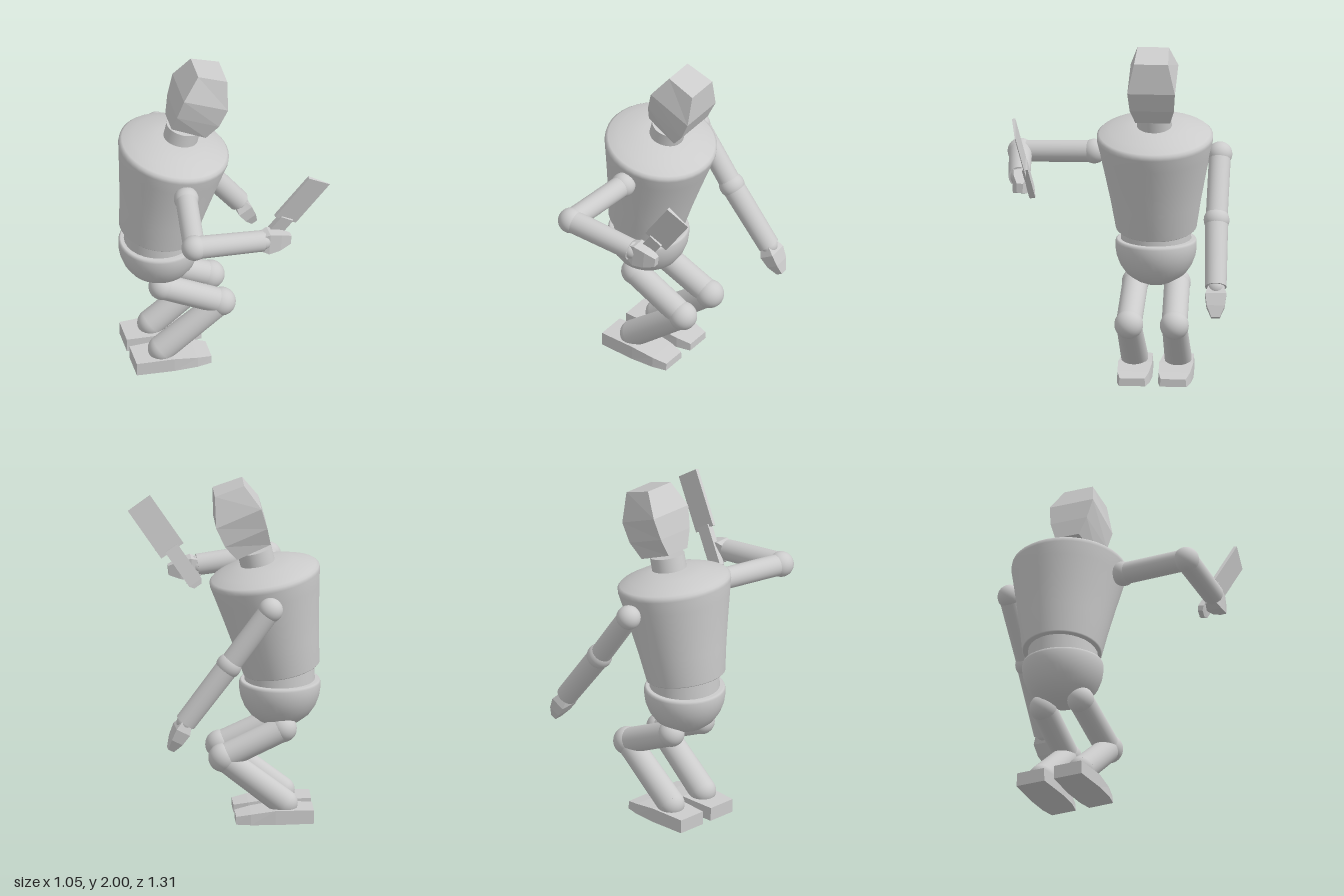
import * as THREE from 'three';

const smooth = new THREE.MeshStandardMaterial({ color: 0xcccccc });
const flat = new THREE.MeshStandardMaterial({ color: 0xcccccc, flatShading: true });
const UP = new THREE.Vector3(0, 1, 0);
const V = (p) => new THREE.Vector3(...p);

function add(parent, name, geometry, material = smooth) {
  const mesh = new THREE.Mesh(geometry, material);
  mesh.name = name;
  parent.add(mesh);
  return mesh;
}

// Four-sided loft; each section is [backX, backY, frontX, frontY, backHalfWidth, frontHalfWidth]
function loft(sections) {
  const rings = sections.map(([bx, by, fx, fy, hb, hf]) =>
    [[bx, by, -hb], [fx, fy, -hf], [fx, fy, hf], [bx, by, hb]]);
  const out = [];
  const quad = (a, b, c, d) => out.push(...a, ...b, ...c, ...a, ...c, ...d);
  quad(...rings[0]);
  quad(...[...rings[rings.length - 1]].reverse());
  for (let r = 0; r + 1 < rings.length; r++) {
    for (let i = 0; i < 4; i++) {
      const j = (i + 1) % 4;
      quad(rings[r][i], rings[r + 1][i], rings[r + 1][j], rings[r][j]);
    }
  }
  const g = new THREE.BufferGeometry();
  g.setAttribute('position', new THREE.Float32BufferAttribute(out, 3));
  g.computeVertexNormals();
  return g;
}

function lathe(profile) {
  return new THREE.LatheGeometry(profile.map(([r, y]) => new THREE.Vector2(r, y)), 40);
}

function ball(parent, name, p, r) {
  add(parent, name, new THREE.SphereGeometry(r, 28, 18)).position.set(...p);
}

function rod(parent, name, a, b, ra, rb = ra) {
  const from = V(a), dir = V(b).sub(from);
  const mesh = add(parent, name, new THREE.CylinderGeometry(rb, ra, dir.length(), 28));
  mesh.position.copy(from).addScaledVector(dir, 0.5);
  mesh.quaternion.setFromUnitVectors(UP, dir.normalize());
}

// Tapered mitten hand pointing along dir
function hand(parent, p, dir, hx, hz) {
  const section = ([y, sx, sz]) => [-hx * sx, y, hx * sx, y, hz * sz, hz * sz];
  const mesh = add(parent, 'hand', loft(
    [[-0.02, 0.7, 0.7], [0.03, 1, 1], [0.1, 0.8, 0.85], [0.165, 0.42, 0.4]].map(section)), flat);
  mesh.position.set(...p);
  mesh.quaternion.setFromUnitVectors(UP, V(dir).normalize());
}

function arm(parent, name, shoulder, elbow, wrist) {
  const g = new THREE.Group();
  g.name = name;
  parent.add(g);
  ball(g, 'shoulder', shoulder, 0.071);
  rod(g, 'upperArm', shoulder, elbow, 0.063);
  ball(g, 'elbow', elbow, 0.074);
  rod(g, 'forearm', elbow, wrist, 0.067, 0.062);
  ball(g, 'wrist', wrist, 0.052);
  return g;
}

export function createModel() {
  const model = new THREE.Group();
  model.name = 'woodenMannequin';
  const mid = -0.2;

  // Body, leaning forward
  const torso = add(model, 'torso', lathe([
    [0, -0.576], [0.215, -0.576], [0.222, -0.57], [0.248, -0.4], [0.277, -0.24], [0.304, -0.1],
    [0.32, -0.02], [0.319, 0.002], [0.305, 0.015], [0.25, 0.038], [0.18, 0.06], [0.11, 0.074], [0, 0.08]]));
  torso.position.set(-0.23, 1.443, mid);
  torso.rotation.z = -0.172;
  torso.scale.z = 1.045;
  rod(model, 'waist', [-0.32, 0.74, mid], [-0.313, 0.95, mid], 0.203, 0.2);
  add(model, 'pelvis', lathe([
    [0, 0.54], [0.06, 0.546], [0.12, 0.57], [0.17, 0.61], [0.205, 0.66], [0.226, 0.715],
    [0.233, 0.76], [0.233, 0.795], [0.229, 0.808], [0.22, 0.813], [0, 0.813]]))
    .position.set(-0.318, 0, mid);

  // Neck and faceted head
  rod(model, 'neck', [-0.205, 1.45, mid], [-0.172, 1.59, mid], 0.1);
  add(model, 'head', loft([
    [-0.262, 1.638, -0.066, 1.558, 0.075, 0.1],
    [-0.24, 1.745, 0.005, 1.645, 0.115, 0.127],
    [-0.204, 1.87, 0.056, 1.76, 0.137, 0.137],
    [-0.108, 1.998, 0.061, 1.938, 0.09, 0.098]]), flat).position.z = mid;

  // Arms: left hangs, right is bent and holds a blade
  const leftArm = arm(model, 'leftArm', [-0.24, 1.338, -0.573], [0, 1.01, -0.572], [0.25, 0.68, -0.587]);
  hand(leftArm, [0.257, 0.665, -0.588], [0.08, -0.145, -0.004], 0.044, 0.061);
  const rightArm = arm(model, 'rightArm', [-0.245, 1.338, 0.15], [-0.305, 1.315, 0.578], [0.105, 1.27, 0.552]);
  hand(rightArm, [0.108, 1.26, 0.543], [0.16, -0.012, -0.005], 0.066, 0.045);

  // Cleaver
  const cleaver = new THREE.Group();
  cleaver.name = 'cleaver';
  const along = V([0.56, 0.815, 0.135]).normalize();
  const normal = V([0.8, -0.57, -0.12]).cross(along).normalize();
  const across = along.clone().cross(normal);
  cleaver.quaternion.setFromRotationMatrix(new THREE.Matrix4().makeBasis(across, along, normal));
  cleaver.position.set(0.185, 1.28, 0.495);
  rightArm.add(cleaver);
  add(cleaver, 'handle', loft([
    [-0.025, -0.14, 0.025, -0.14, 0.015, 0.015],
    [-0.043, -0.115, 0.043, -0.115, 0.017, 0.017],
    [-0.043, 0.128, 0.043, 0.128, 0.017, 0.017]]), flat);
  add(cleaver, 'blade', loft([
    [-0.078, 0.11, 0.078, 0.11, 0.01, 0.002],
    [-0.078, 0.448, 0.078, 0.448, 0.01, 0.002]]), flat).position.x = 0.003;

  // Bent legs and wedge feet
  for (const [side, name] of [[-1, 'leftLeg'], [1, 'rightLeg']]) {
    const z = (d) => mid + side * d;
    const leg = new THREE.Group();
    leg.name = name;
    model.add(leg);
    const hip = [-0.33, 0.548, z(0.12)], knee = [0.018, 0.385, z(0.131)], ankle = [-0.335, 0.105, z(0.125)];
    ball(leg, 'hip', hip, 0.078);
    rod(leg, 'thigh', hip, knee, 0.074);
    ball(leg, 'knee', knee, 0.083);
    rod(leg, 'shin', knee, ankle, 0.072, 0.078);
    ball(leg, 'ankle', ankle, 0.078);
    const foot = add(leg, 'foot', loft([
      [-0.08, -0.5, 0, -0.5, 0.086, 0.088],
      [-0.083, -0.28, 0, -0.28, 0.098, 0.1],
      [-0.062, -0.14, 0, -0.14, 0.09, 0.094],
      [-0.045, -0.055, 0, -0.055, 0.072, 0.076]]), flat);
    foot.rotation.z = -Math.PI / 2;
    foot.position.z = z(0.118);
  }
  return model;
}
